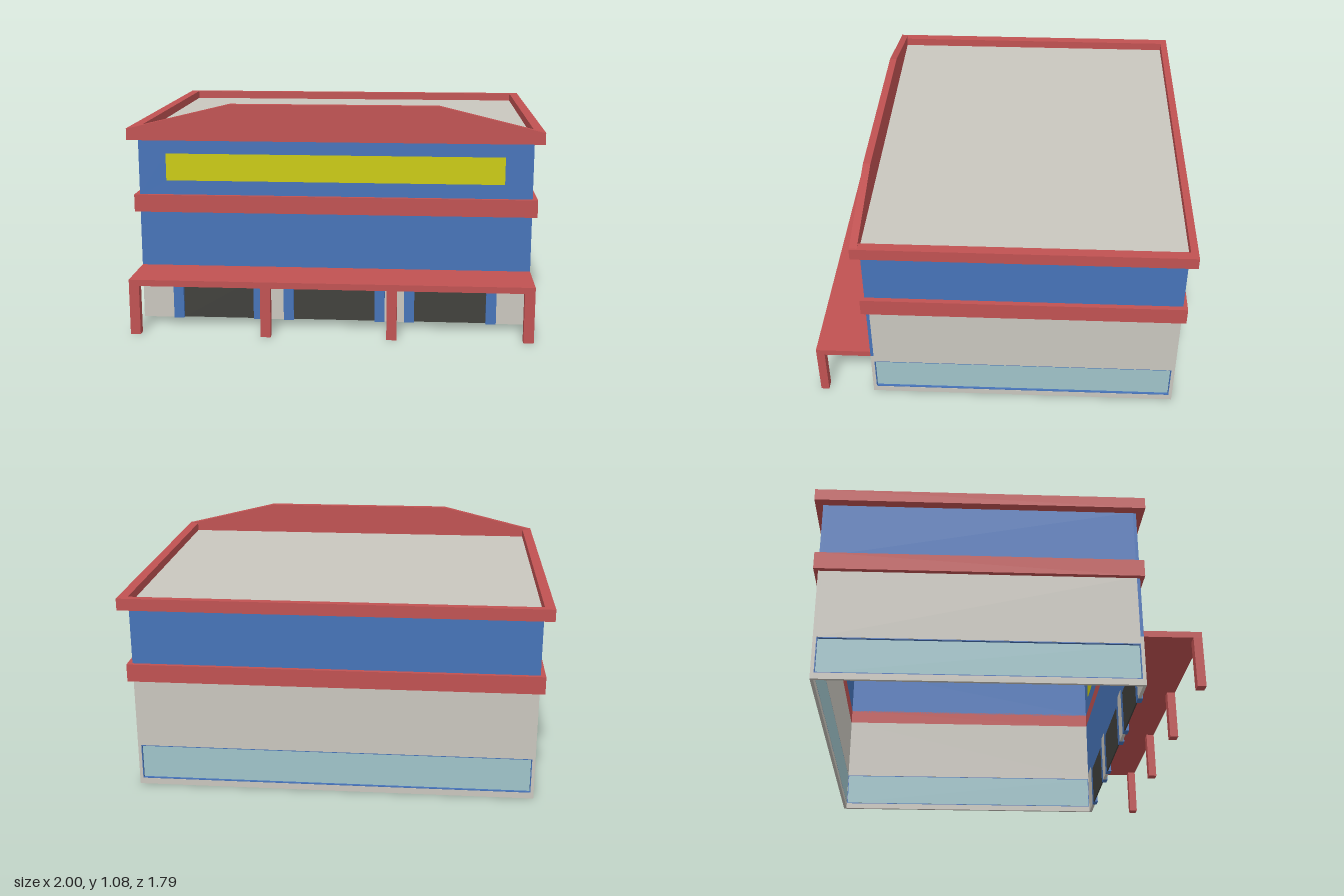
import * as THREE from 'three';

const T = 0.015;                       // wall thickness
const X = 0.953, ZF = 0.63, ZB = -0.86; // outer faces of the walls
const ZC = (ZF + ZB) / 2, DEPTH = ZF - ZB;

const paint = (color) => new THREE.MeshStandardMaterial({ color, side: THREE.DoubleSide, flatShading: true });

function rect(path, x0, x1, y0, y1) {
  path.moveTo(x0, y0);
  path.lineTo(x1, y0);
  path.lineTo(x1, y1);
  path.lineTo(x0, y1);
  path.closePath();
  return path;
}

export function createModel() {
  const root = new THREE.Group();
  root.name = 'storeBuilding';
  const red = paint(0xc05252), blue = paint(0x4673b8), yellow = paint(0xcaca0e);
  const stone = paint(0xc9c6be), glass = paint(0x9fc3c9), dark = paint(0x40403c);

  function add(name, geometry, material, parent = root) {
    const mesh = new THREE.Mesh(geometry, material);
    mesh.name = name;
    parent.add(mesh);
    return mesh;
  }
  function box(name, material, x0, x1, y0, y1, z0, z1, parent = root) {
    const mesh = add(name, new THREE.BoxGeometry(x1 - x0, y1 - y0, z1 - z0), material, parent);
    mesh.position.set((x0 + x1) / 2, (y0 + y1) / 2, (z0 + z1) / 2);
    return mesh;
  }
  // Upright slab whose outer face lies on local z = 0, with an optional opening
  function slab(name, material, x0, x1, y0, y1, parent, hole, depth = T) {
    const shape = rect(new THREE.Shape(), x0, x1, y0, y1);
    if (hole) shape.holes.push(rect(new THREE.Path(), ...hole));
    const geometry = new THREE.ExtrudeGeometry(shape, { depth, bevelEnabled: false });
    geometry.translate(0, 0, -depth);
    return add(name, geometry, material, parent);
  }
  // Horizontal rectangular frame running round the building
  function ring(name, material, y0, y1, outer, inner) {
    const shape = rect(new THREE.Shape(), -outer[0], outer[0], -outer[2], -outer[1]);
    shape.holes.push(rect(new THREE.Path(), -inner[0], inner[0], -inner[2], -inner[1]));
    const geometry = new THREE.ExtrudeGeometry(shape, { depth: y1 - y0, bevelEnabled: false });
    geometry.rotateX(-Math.PI / 2);
    geometry.translate(0, y0, 0);
    return add(name, geometry, material);
  }

  // Side and back walls: stone below with a recessed glass strip, blue above
  const sides = [
    ['rightWall', -X, ZC, -Math.PI / 2, DEPTH / 2 - T],
    ['leftWall', X, ZC, Math.PI / 2, DEPTH / 2 - T],
    ['backWall', 0, ZB, Math.PI, X],
  ];
  for (const [name, x, z, turn, half] of sides) {
    const wall = new THREE.Group();
    wall.name = name;
    wall.position.set(x, 0, z);
    wall.rotation.y = turn;
    root.add(wall);
    const w = name === 'backWall' ? X - T : half - 0.001;
    const hole = [-w, w, 0.03, 0.205];
    slab('lowerWall', stone, -half, half, 0, 0.55, wall, hole);
    slab('upperWall', blue, -half, half, 0.62, 0.905, wall);
    // Blue lining of the window opening
    const e = 0.004;
    const lining = slab('windowLining', blue, ...hole, wall, [-w + e, w - e, 0.03 + e, 0.205 - e], T - 0.002);
    lining.position.z = -0.001;
    box('windowGlass', glass, -w + e, w - e, 0.03 + e, 0.205 - e, -T, -T + 0.003, wall);
  }

  // Front wall with the sign panel set into the upper storey
  const front = new THREE.Group();
  front.name = 'frontWall';
  front.position.z = ZF;
  root.add(front);
  const sign = [-0.82, 0.82, 0.697, 0.83];
  slab('lowerWall', blue, -X, X, 0.24, 0.55, front);
  slab('upperWall', blue, -X, X, 0.62, 0.905, front, sign);
  slab('signPanel', yellow, ...sign, front);

  // Three door bays with stone piers between them
  const bays = [[-0.8, -0.35], [-0.25, 0.25], [0.345, 0.795]];
  let edge = -X;
  for (const [a, b] of [...bays, [X, X]]) {
    box('frontPier', stone, edge, a, 0, 0.24, ZF - T, ZF);
    edge = b;
  }
  for (const [a, b] of bays) {
    const bay = new THREE.Group();
    bay.name = 'doorBay';
    root.add(bay);
    const j = 0.05, z0 = ZF - T, z1 = ZF + 0.009;
    box('doorJamb', blue, a, a + j, 0, 0.205, z0, z1, bay);
    box('doorJamb', blue, b - j, b, 0, 0.205, z0, z1, bay);
    box('doorHeader', blue, a, b, 0.205, 0.24, z0, z1, bay);
    box('door', dark, a + j, b - j, 0, 0.205, z0, z0 + 0.006, bay);
  }

  // Canopy and its posts
  box('canopy', red, -X, X, 0.24, 0.27, ZF, 0.897);
  for (const x of [-0.929, -0.305, 0.29, 0.929])
    box('canopyPost', red, x - 0.024, x + 0.024, 0, 0.24, 0.857, 0.897);

  // Belt course, parapet and roof
  const inside = [X - T, ZB + T, ZF - T];
  ring('beltCourse', red, 0.543, 0.628, [0.977, -0.88, 0.65], inside);
  ring('parapet', red, 0.9, 0.957, [1, -0.897, 0.668], [0.953, -0.862, 0.632]);
  box('roof', stone, -0.953, 0.953, 0.9, 0.915, -0.862, 0.632);

  // Raised front gable above the parapet
  const gable = new THREE.Shape([[-1, 0.955], [1, 0.955], [0.5, 1.076], [-0.5, 1.076]]
    .map(([x, y]) => new THREE.Vector2(x, y)));
  add('frontGable', new THREE.ExtrudeGeometry(gable, { depth: 0.036, bevelEnabled: false }), red).position.z = 0.632;

  return root;
}
